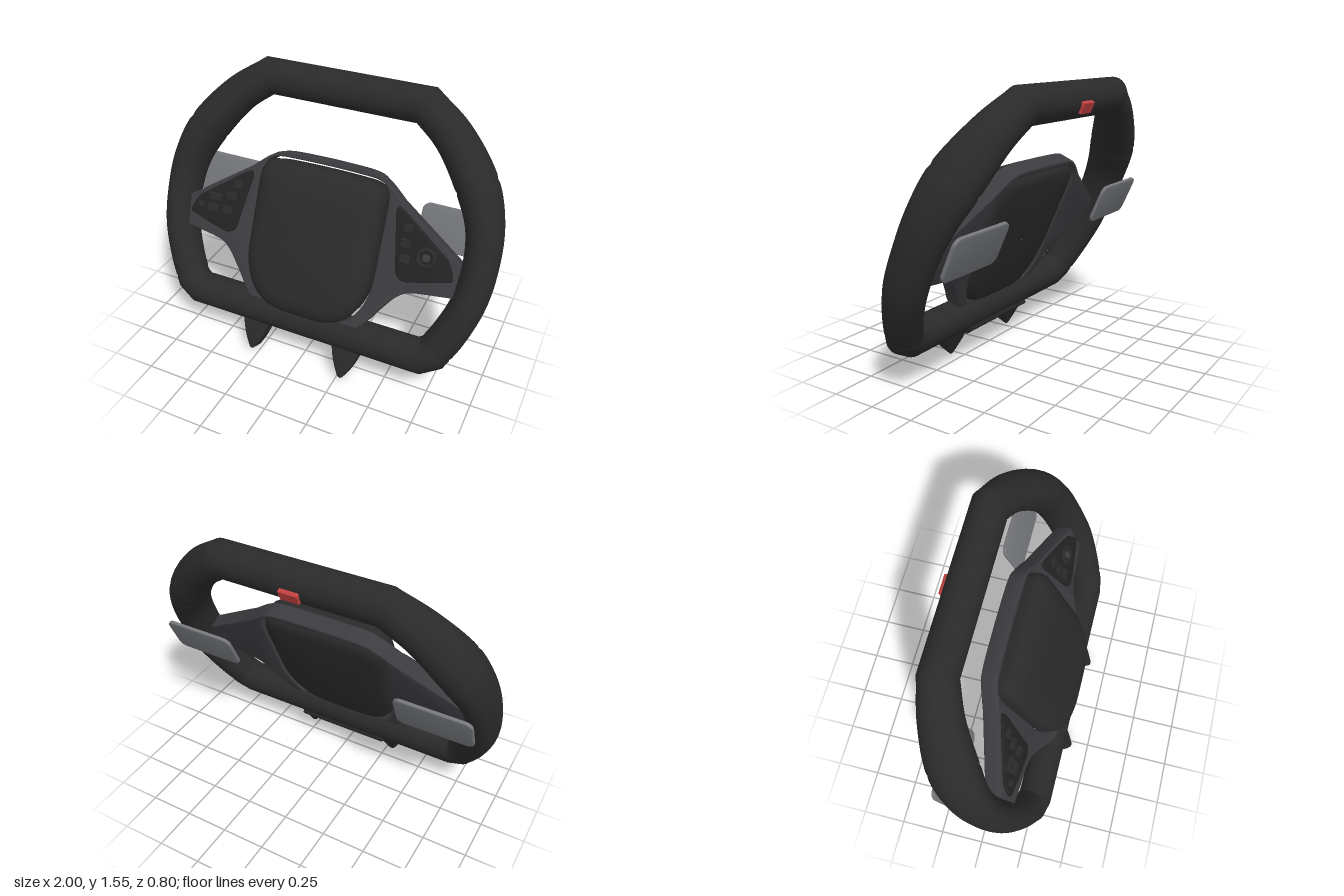
import * as THREE from 'three';
import { toCreasedNormals } from 'three/addons/utils/BufferGeometryUtils.js';
import { RoundedBoxGeometry } from 'three/addons/geometries/RoundedBoxGeometry.js';

const mat = (color) => new THREE.MeshStandardMaterial({ color });
const V2 = (x, y) => new THREE.Vector2(x, y);
const V3 = (x, y, z) => new THREE.Vector3(x, y, z);

// Skin a list of equal-length rings; closed joins the last ring to the first.
function loft(rings, closed) {
  const n = rings[0].length, m = rings.length, index = [];
  for (let i = 0; i < (closed ? m : m - 1); i++) {
    for (let j = 0; j < n; j++) {
      const a = i * n + j, c = i * n + ((j + 1) % n);
      const b = ((i + 1) % m) * n + j, d = ((i + 1) % m) * n + ((j + 1) % n);
      index.push(a, c, b, b, c, d);
    }
  }
  const g = new THREE.BufferGeometry().setFromPoints(rings.flat());
  g.setIndex(index);
  g.computeVertexNormals();
  return g;
}

// Plate with bevelled edges filling z0..z1.
function slab(shape, z0, z1, bevel) {
  const g = new THREE.ExtrudeGeometry(shape, {
    depth: z1 - z0 - 2 * bevel, bevelEnabled: true, bevelThickness: bevel,
    bevelSize: bevel, bevelOffset: -bevel, bevelSegments: 3, curveSegments: 10,
  });
  g.translate(0, 0, z0 + bevel);
  return toCreasedNormals(g, 0.6);
}

// Rim: flattened ring with thick grips and shallow seams.
function rimGeometry() {
  // x, y, half width, half depth down one side
  const side = [
    [0.46, 0.66, 0.1, 0.1], [0.63, 0.529, 0.105, 0.118], [0.8, 0.31, 0.112, 0.143],
    [0.88, 0.124, 0.1, 0.132], [0.905, -0.06, 0.093, 0.122], [0.89, -0.28, 0.092, 0.118],
    [0.82, -0.49, 0.095, 0.106], [0.755, -0.615, 0.097, 0.097],
  ];
  const path = new THREE.CatmullRomCurve3(side.map((s) => V3(s[0], s[1], s[3])));
  const width = new THREE.CatmullRomCurve3(side.map((s) => V3(s[2], s[1], 0)));
  const right = [{ x: 0.4, y: 0.66, a: 0.1, b: 0.1 }];
  const N = 70;
  for (let i = 0; i <= N; i++) {
    const p = path.getPoint(i / N), k = i === 20 || i === 67 ? 0.96 : 1;
    right.push({ x: p.x, y: p.y, a: width.getPoint(i / N).x * k, b: p.z * k });
  }
  right.push({ x: 0.69, y: -0.655, a: 0.097, b: 0.095 }, { x: 0.6, y: -0.655, a: 0.097, b: 0.095 });
  const st = [...right, ...right.slice().reverse().map((s) => ({ ...s, x: -s.x }))];
  const rings = st.map((s, i) => {
    const p = st[(i + st.length - 1) % st.length], q = st[(i + 1) % st.length];
    const t0 = V2(s.x - p.x, s.y - p.y).normalize(), t1 = V2(q.x - s.x, q.y - s.y).normalize();
    const t = t0.clone().add(t1).normalize(), a = s.a / t.dot(t1);
    return Array.from({ length: 32 }, (_, j) => {
      const c = Math.cos((j / 32) * Math.PI * 2) * a, d = Math.sin((j / 32) * Math.PI * 2) * s.b;
      return V3(s.x - t.y * c, s.y + t.x * c, d);
    });
  });
  return loft(rings, true);
}

// Outline of the centre pad, counter-clockwise.
function padOutline() {
  const s = new THREE.Shape();
  s.moveTo(0.37, -0.3);
  s.lineTo(0.37, 0.1);
  s.bezierCurveTo(0.37, 0.2, 0.34, 0.228, 0.25, 0.232);
  s.quadraticCurveTo(0, 0.242, -0.25, 0.232);
  s.bezierCurveTo(-0.34, 0.228, -0.37, 0.2, -0.37, 0.1);
  s.lineTo(-0.37, -0.3);
  s.bezierCurveTo(-0.35, -0.52, -0.25, -0.61, -0.08, -0.61);
  s.lineTo(0.08, -0.61);
  s.bezierCurveTo(0.25, -0.61, 0.35, -0.52, 0.37, -0.3);
  return s.getSpacedPoints(96).slice(0, -1);
}

export function createModel() {
  const model = new THREE.Group();
  const wheel = new THREE.Group();
  wheel.name = 'steeringWheel';
  wheel.position.set(0, 0.857, -0.01);
  wheel.rotation.x = THREE.MathUtils.degToRad(-24);
  model.add(wheel);

  const black = mat(0x2a2a2a), dark = mat(0x232324), grey = mat(0x3c3c40);
  const metal = mat(0x74767a), red = mat(0xc04040);
  const add = (name, geo, material, x = 0, y = 0, z = 0) => {
    const m = new THREE.Mesh(geo, material);
    m.name = name;
    m.position.set(x, y, z);
    wheel.add(m);
    return m;
  };

  add('rim', rimGeometry(), black);

  // Centre pad: the outline stacked along a domed profile
  const outline = padOutline(), cy = -0.188;
  const scaled = (k) => outline.map((p) => V2(p.x * k, cy + (p.y - cy) * k));
  const profile = [
    [0.001, -0.05], [0.5, -0.048], [0.85, -0.038], [0.95, -0.025], [0.985, 0], [0.99, 0.05], [1, 0.09],
    [0.99, 0.115], [0.965, 0.135], [0.92, 0.153], [0.85, 0.17], [0.74, 0.183], [0.55, 0.191], [0.3, 0.194], [0.001, 0.195],
  ];
  add('centrePad', loft(profile.map(([k, z]) => scaled(k).map((p) => V3(p.x, p.y, z))), false), black);

  // Spoke plate with an opening around the pad
  const half = [[0.25, 0.272], [0.34, 0.238], [0.45, 0.15]];
  const plate = new THREE.Shape();
  plate.moveTo(0, 0.28);
  plate.splineThru(half.map((p) => V2(...p)));
  plate.lineTo(0.82, -0.1);
  plate.lineTo(0.81, -0.28);
  plate.lineTo(0.63, -0.305);
  plate.splineThru([V2(0.56, -0.325), V2(0.5, -0.375), V2(0.42, -0.48), V2(0.36, -0.565), V2(0.27, -0.645)]);
  plate.lineTo(-0.27, -0.645);
  plate.splineThru([V2(-0.36, -0.565), V2(-0.42, -0.48), V2(-0.5, -0.375), V2(-0.56, -0.325), V2(-0.63, -0.305)]);
  plate.lineTo(-0.81, -0.28);
  plate.lineTo(-0.82, -0.1);
  plate.lineTo(-0.45, 0.15);
  plate.splineThru([V2(-0.34, 0.238), V2(-0.25, 0.272), V2(0, 0.28)]);
  plate.holes.push(new THREE.Path(scaled(1.022)));
  add('spokePlate', slab(plate, -0.025, 0.07, 0.006), grey);

  for (const s of [1, -1]) {
    const label = s > 0 ? 'left' : 'right';

    // Button panel
    const panel = new THREE.Shape();
    panel.moveTo(s * 0.445, 0.125);
    panel.lineTo(s * 0.475, 0.11);
    panel.lineTo(s * 0.75, -0.085);
    panel.quadraticCurveTo(s * 0.81, -0.18, s * 0.79, -0.195);
    panel.quadraticCurveTo(s * 0.65, -0.24, s * 0.55, -0.26);
    panel.quadraticCurveTo(s * 0.5, -0.26, s * 0.485, -0.21);
    panel.lineTo(s * 0.43, 0.09);
    panel.quadraticCurveTo(s * 0.428, 0.125, s * 0.445, 0.125);
    add(label + 'ButtonPanel', slab(panel, 0.06, 0.084, 0.006), dark);

    // Gear paddle behind the wheel
    add(label + 'Paddle', slab(roundedRect(0.43, 0.245, 0.045), -0.01, 0.01, 0.005), metal, s * 0.715, 0.02, -0.186);

    // Pointed prong below the rim
    const prong = new THREE.Shape();
    prong.moveTo(-0.085, -0.66);
    prong.lineTo(-0.08, -0.74);
    prong.quadraticCurveTo(-0.065, -0.82, -0.015, -0.905);
    prong.quadraticCurveTo(0, -0.92, 0.015, -0.905);
    prong.quadraticCurveTo(0.065, -0.82, 0.08, -0.74);
    prong.lineTo(0.085, -0.66);
    add(label + 'Prong', slab(prong, -0.045, 0.042, 0.005), black, s * 0.283);
  }

  // Buttons: x, y, width, height
  const buttons = [
    [-0.51, 0.026, 0.055, 0.05], [-0.54, -0.05, 0.065, 0.05], [-0.555, -0.135, 0.06, 0.052],
    [-0.645, -0.075, 0.085, 0.05], [-0.648, -0.14, 0.075, 0.05], [-0.73, -0.138, 0.04, 0.035],
    [0.51, 0.026, 0.055, 0.05], [0.512, -0.055, 0.055, 0.055], [0.525, -0.138, 0.06, 0.052],
  ];
  for (const [x, y, w, h] of buttons) {
    add('button', new RoundedBoxGeometry(w, h, 0.03, 3, 0.01), black, x, y, 0.085);
  }
  add('dialRing', new THREE.TorusGeometry(0.045, 0.012, 12, 36), black, 0.637, -0.105, 0.086);
  add('dialButton', new RoundedBoxGeometry(0.042, 0.042, 0.03, 4, 0.014), grey, 0.637, -0.105, 0.086);

  // Red marker and lower trim on the back of the rim
  add('topMarker', new RoundedBoxGeometry(0.11, 0.065, 0.03, 2, 0.005), red, 0, 0.668, -0.099);
  add('lowerTrim', new RoundedBoxGeometry(0.56, 0.06, 0.03, 3, 0.01), dark, 0, -0.708, -0.085).rotation.x = 2.58;

  return model;
}

function roundedRect(w, h, r) {
  const s = new THREE.Shape(), x = w / 2 - r, y = h / 2 - r;
  s.absarc(x, y, r, 0, Math.PI / 2);
  s.absarc(-x, y, r, Math.PI / 2, Math.PI);
  s.absarc(-x, -y, r, Math.PI, Math.PI * 1.5);
  s.absarc(x, -y, r, Math.PI * 1.5, Math.PI * 2);
  return s;
}
